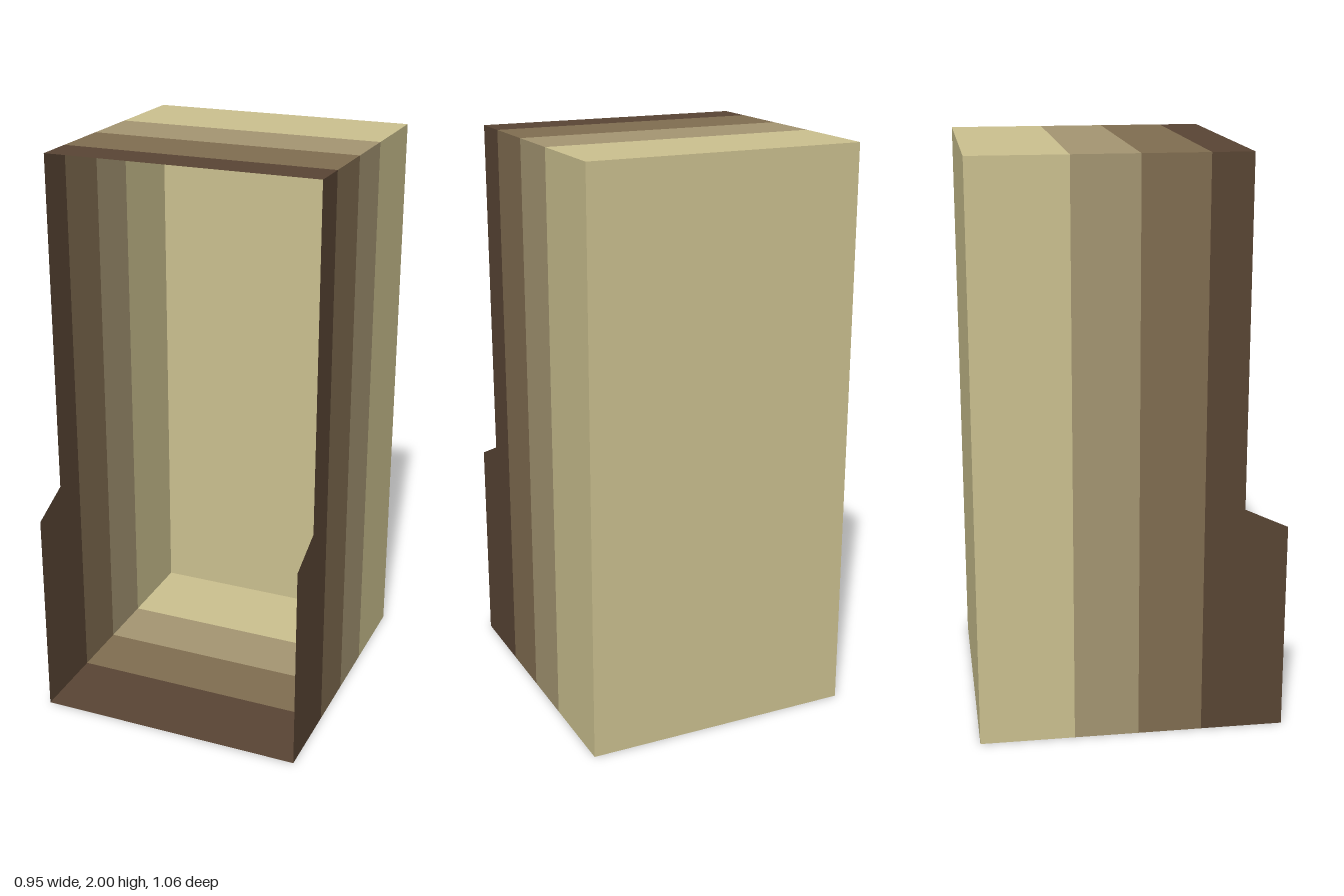
import * as THREE from 'three';

const HALF_W = 0.475, HEIGHT = 2, BACK = -0.53;
const ROOF_FRONT = 0.38, FLOOR_FRONT = 0.53;

function paint(name, color) {
  const m = new THREE.MeshStandardMaterial({ color, side: THREE.DoubleSide });
  m.name = name;
  return m;
}

export function createModel() {
  const group = new THREE.Group();
  group.name = 'openBooth';

  // Colour bands from back to front
  const bands = [
    { from: BACK, to: -0.203, mat: paint('cream', 0xcbc08f) },
    { from: -0.203, to: 0.02, mat: paint('tan', 0xa49572) },
    { from: 0.02, to: 0.242, mat: paint('brown', 0x806d50) },
    { from: 0.242, to: FLOOR_FRONT, mat: paint('darkBrown', 0x594534) },
  ];

  function add(name, geometry, material, x, y, z) {
    const mesh = new THREE.Mesh(geometry, material);
    mesh.name = name;
    mesh.position.set(x, y, z);
    group.add(mesh);
  }

  // Horizontal sheet spanning the full width
  function slab(name, y, from, to, mat) {
    const g = new THREE.PlaneGeometry(2 * HALF_W, to - from).rotateX(-Math.PI / 2);
    add(name, g, mat, 0, y, (from + to) / 2);
  }

  // Back wall
  add('backWall', new THREE.PlaneGeometry(2 * HALF_W, HEIGHT), bands[0].mat, 0, HEIGHT / 2, BACK);

  bands.forEach(({ from, to, mat }, i) => {
    slab('floorBand' + i, 0, from, to, mat);
    slab('roofBand' + i, HEIGHT, from, Math.min(to, ROOF_FRONT), mat);

    // Side walls; the front band steps out into a low cheek
    const outline = [[from, 0], [to, 0]];
    if (to > ROOF_FRONT) outline.push([to, 0.74], [ROOF_FRONT, 0.81], [ROOF_FRONT, HEIGHT]);
    else outline.push([to, HEIGHT]);
    outline.push([from, HEIGHT]);
    const shape = new THREE.Shape(outline.map(([z, y]) => new THREE.Vector2(z, y)));
    for (const [side, s] of [['left', 1], ['right', -1]]) {
      const g = new THREE.ShapeGeometry(shape).rotateY(-Math.PI / 2);
      add(side + 'WallBand' + i, g, mat, s * HALF_W, 0, 0);
    }
  });

  return group;
}
